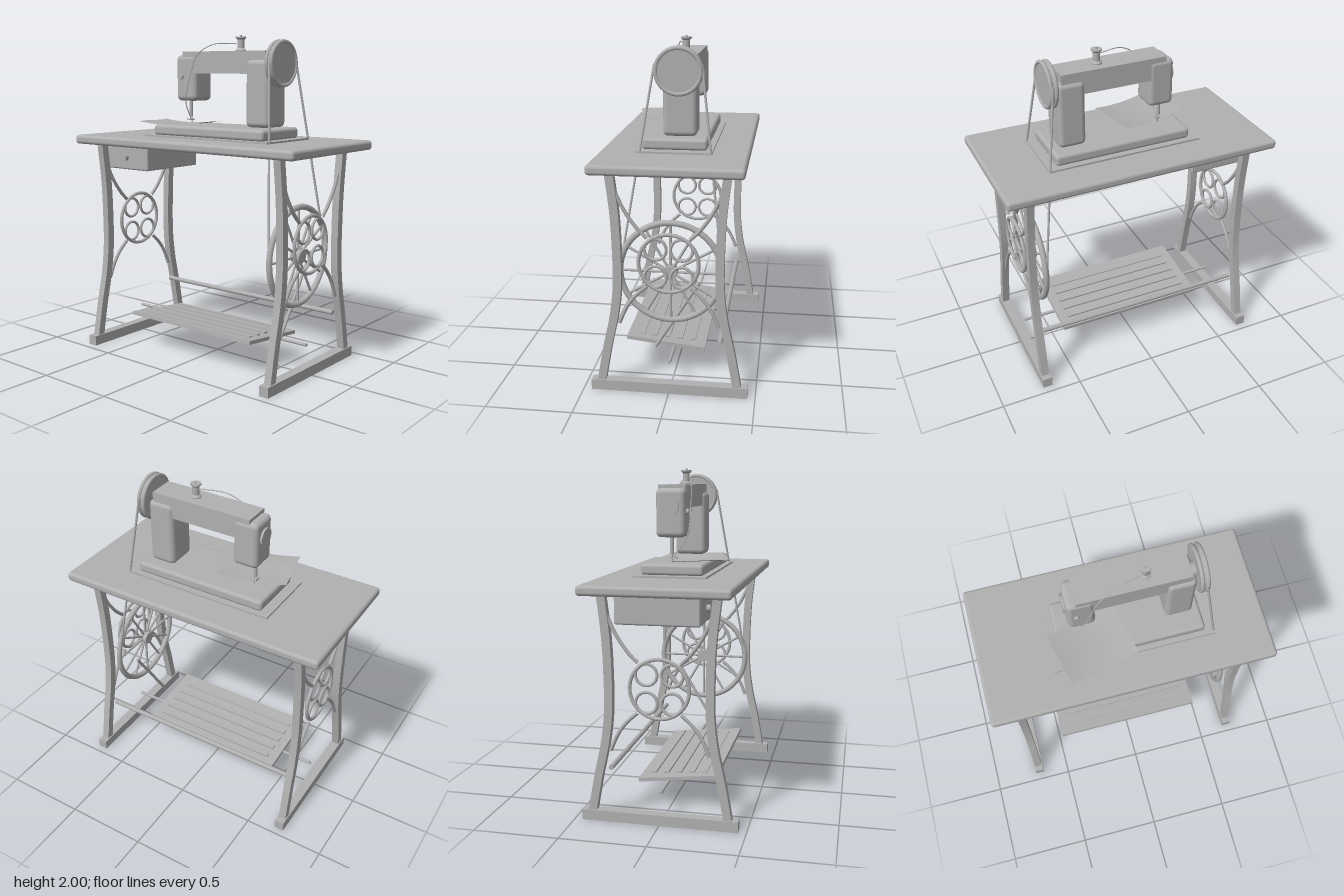
import * as THREE from 'three';
import { RoundedBoxGeometry } from 'three/addons/geometries/RoundedBoxGeometry.js';

const V = (x, y, z) => new THREE.Vector3(x, y, z);

export function createModel() {
  const model = new THREE.Group();
  model.name = 'treadleSewingMachine';
  const grey = new THREE.MeshStandardMaterial({ color: 0xb0b0b0 });
  grey.name = 'plainGrey';
  const greySheet = grey.clone();
  greySheet.side = THREE.DoubleSide;
  greySheet.name = 'plainGreySheet';

  const add = (name, geo, x = 0, y = 0, z = 0, parent = model, mat = grey) => {
    const m = new THREE.Mesh(geo, mat);
    m.name = name;
    m.position.set(x, y, z);
    parent.add(m);
    return m;
  };
  // Boxes given by their min and max extents
  const box = (name, x0, x1, y0, y1, z0, z1, r = 0, parent = model) => {
    const s = [x1 - x0, y1 - y0, z1 - z0];
    const geo = r ? new RoundedBoxGeometry(...s, 3, r) : new THREE.BoxGeometry(...s);
    return add(name, geo, (x0 + x1) / 2, (y0 + y1) / 2, (z0 + z1) / 2, parent);
  };
  // Round bar between two points
  const bar = (name, a, b, r, parent = model, sides = 12) => {
    const d = b.clone().sub(a);
    const m = add(name, new THREE.CylinderGeometry(r, r, d.length(), sides), 0, 0, 0, parent);
    m.position.copy(a).add(b).multiplyScalar(0.5);
    m.quaternion.setFromUnitVectors(V(0, 1, 0), d.normalize());
    return m;
  };
  const tube = (name, pts, r, parent = model) =>
    add(name, new THREE.TubeGeometry(new THREE.CatmullRomCurve3(pts), 32, r, 8), 0, 0, 0, parent);
  // Ring whose axis runs along x
  const ring = (name, x, y, z, R, r, parent = model) => {
    const m = add(name, new THREE.TorusGeometry(R, r, 10, 48), x, y, z, parent);
    m.rotation.y = Math.PI / 2;
    return m;
  };

  // Table top and drawer
  box('tableTop', -0.85, 0.85, 1.32, 1.377, -0.427, 0.425, 0.02);
  box('drawer', -0.75, -0.38, 1.155, 1.32, -0.24, 0.242, 0.012);
  bar('drawerKnob', V(-0.565, 1.235, 0.24), V(-0.565, 1.235, 0.265), 0.021, model, 20);

  // Side frames
  const legCurve = new THREE.SplineCurve([
    [0.395, 0.05], [0.355, 0.27], [0.312, 0.47], [0.291, 0.65], [0.29, 0.85], [0.3, 1.08], [0.328, 1.325],
  ].map(p => new THREE.Vector2(...p)));
  const legGeometry = s => {
    const pts = legCurve.getPoints(30);
    const outline = [
      ...pts.map(p => new THREE.Vector2(s * (p.x + 0.024), p.y)),
      ...pts.reverse().map(p => new THREE.Vector2(s * (p.x - 0.024), p.y)),
    ];
    const g = new THREE.ExtrudeGeometry(new THREE.Shape(outline), { depth: 0.046, bevelEnabled: false });
    return g.translate(0, 0, -0.023).rotateY(Math.PI / 2);
  };
  for (const side of [-1, 1]) {
    const frame = new THREE.Group();
    frame.name = side > 0 ? 'leftSideFrame' : 'rightSideFrame';
    frame.position.x = side * 0.696;
    model.add(frame);
    box('foot', -0.03, 0.03, 0, 0.062, -0.455, 0.453, 0, frame);
    ring('ornamentRing', 0, 0.79, 0, 0.17, 0.011, frame);
    for (const s of [-1, 1]) {
      add('leg', legGeometry(s), 0, 0, 0, frame);
      for (const t of [-1, 1]) ring('ornamentCircle', 0, 0.79 + t * 0.081, s * 0.074, 0.062, 0.009, frame);
      tube('upperBrace', [V(0, 1.23, s * 0.31), V(0, 1.09, s * 0.245), V(0, 0.99, s * 0.175), V(0, 0.935, s * 0.12)], 0.011, frame);
      tube('lowerBrace', [V(0, 0.65, s * 0.125), V(0, 0.59, s * 0.19), V(0, 0.52, s * 0.24), V(0, 0.42, s * 0.285)], 0.011, frame);
    }
  }

  // Cross bar and treadle
  bar('crossBar', V(-0.68, 0.31, -0.29), V(0.68, 0.31, -0.29), 0.015);
  bar('treadleAxle', V(-0.68, 0.178, 0), V(0.68, 0.178, 0), 0.01);
  box('treadlePlate', -0.48, 0.475, 0.185, 0.207, -0.185, 0.291).rotation.x = -0.11;
  for (const z of [0.205, 0.128, 0.05, -0.027, -0.105]) {
    const y = 0.21 + z * 0.07;
    box('treadleSlat', -0.42, 0.42, y - 0.005, y + 0.005, z - 0.015, z + 0.015).rotation.x = -0.07;
  }

  // Drive wheel with spokes, hub and connecting rod
  const wheel = new THREE.Group();
  wheel.name = 'driveWheel';
  wheel.position.set(0.611, 0.71, 0);
  model.add(wheel);
  ring('wheelRim', 0, 0, 0, 0.292, 0.018, wheel);
  bar('wheelHub', V(-0.032, 0, 0), V(0.03, 0, 0), 0.04, wheel, 24);
  for (let i = 0; i < 12; i++) {
    const a = i * Math.PI / 6;
    bar('spoke', V(0, 0, 0), V(0, 0.285 * Math.cos(a), 0.285 * Math.sin(a)), 0.008, wheel, 8);
  }
  bar('connectingRod', V(0.557, 0.215, 0.1), V(0.568, 0.635, -0.16), 0.01);

  // Machine body
  box('bedPlate', -0.43, 0.53, 1.375, 1.388, -0.221, 0.21);
  box('bed', -0.375, 0.475, 1.385, 1.452, -0.19, 0.182, 0.02);
  box('pillar', 0.262, 0.428, 1.455, 1.852, -0.125, 0.07, 0.03);
  box('arm', -0.245, 0.4, 1.77, 1.905, -0.112, 0.052);
  box('head', -0.297, -0.14, 1.6, 1.885, -0.118, 0.058, 0.03);
  bar('facePlate', V(-0.31, 1.78, -0.03), V(-0.28, 1.78, -0.03), 0.054, model, 32);
  bar('tensionKnob', V(-0.245, 1.75, 0.05), V(-0.245, 1.75, 0.073), 0.016, model, 16);
  bar('needleBar', V(-0.245, 1.5, -0.03), V(-0.245, 1.62, -0.03), 0.011);
  bar('needle', V(-0.24, 1.452, -0.03), V(-0.24, 1.51, -0.03), 0.004, model, 8);
  box('presserFoot', -0.257, -0.225, 1.475, 1.483, -0.04, 0.0);

  // Spool and thread
  const spool = [[0, 1.9], [0.032, 1.9], [0.032, 1.912], [0.021, 1.922], [0.021, 1.972], [0.032, 1.982],
    [0.032, 1.991], [0.006, 1.991], [0.006, 2], [0, 2]];
  for (let i = 0; i < spool.length - 1; i++) {
    const pair = [spool[i], spool[i + 1]].map(p => new THREE.Vector2(...p));
    add('spool', new THREE.LatheGeometry(pair, 24), 0.155, 0, -0.03);
  }
  tube('thread', [V(0.14, 1.95, -0.01), V(-0.02, 1.945, 0.03), V(-0.12, 1.88, 0.06), V(-0.16, 1.78, 0.066),
    V(-0.19, 1.69, 0.067), V(-0.22, 1.59, 0.05), V(-0.24, 1.48, -0.025)], 0.003);

  // Cloth, slightly curled up at the edges
  const clothGeo = new THREE.PlaneGeometry(0.42, 0.33, 20, 10).rotateX(-Math.PI / 2);
  const p = clothGeo.attributes.position;
  for (let i = 0; i < p.count; i++) p.setY(i, 0.018 * (p.getX(i) / 0.21) ** 2 + 0.003 * Math.sin(p.getZ(i) * 18));
  clothGeo.computeVertexNormals();
  add('cloth', clothGeo, -0.185, 1.461, 0.125, model, greySheet).rotation.y = 0.224;

  // Hand wheel
  bar('handWheelShaft', V(0.41, 1.83, -0.025), V(0.45, 1.83, -0.025), 0.04, model, 24);
  bar('handWheelDisc', V(0.434, 1.83, -0.025), V(0.478, 1.83, -0.025), 0.128, model, 48);
  for (const x of [0.442, 0.473]) ring('handWheelRim', x, 1.83, -0.025, 0.127, 0.012);

  // Drive belt
  bar('frontBelt', V(0.465, 1.87, 0.108), V(0.602, 0.78, 0.283), 0.007, model, 8);
  bar('rearBelt', V(0.465, 1.87, -0.158), V(0.602, 0.78, -0.287), 0.007, model, 8);

  return model;
}
